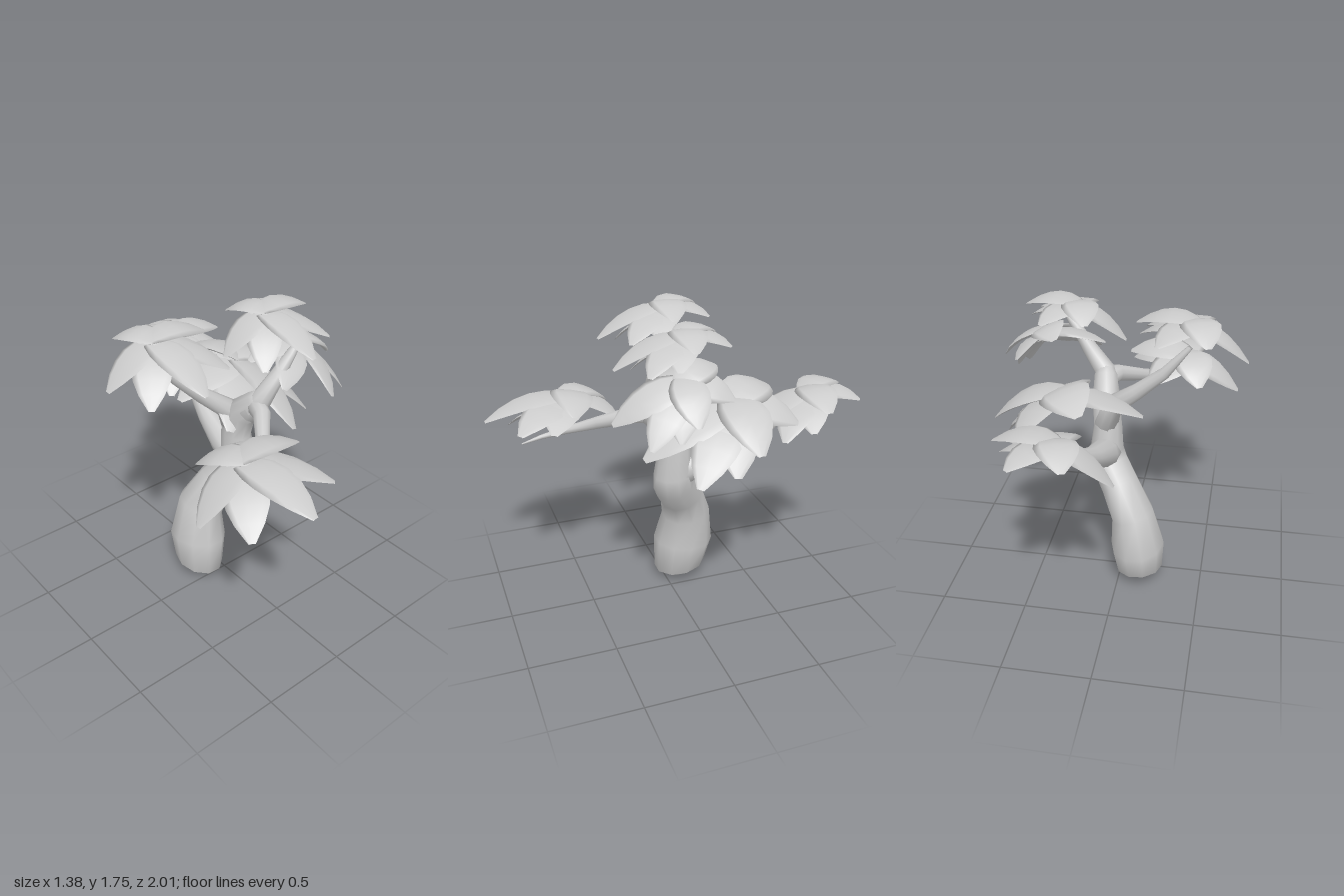
import * as THREE from 'three';

const SIDES = 10;

// Tapered limb: each station is [x, y, z, radius]; depth widens it front to back
function limb(name, stations, material, depth = 1) {
  const points = stations.map(([x, y, z]) => new THREE.Vector3(x, y, z));
  const curve = new THREE.CatmullRomCurve3(points);
  const turn = new THREE.Quaternion();
  let previous = new THREE.Vector3(0, 1, 0);
  const position = [], index = [];
  const last = stations.length - 1;
  points.forEach((p, i) => {
    const tangent = curve.getTangent(i / last);
    turn.premultiply(new THREE.Quaternion().setFromUnitVectors(previous, tangent));
    previous = tangent;
    for (let j = 0; j < SIDES; j++) {
      const a = (j / SIDES) * Math.PI * 2;
      const r = stations[i][3];
      const v = new THREE.Vector3(Math.cos(a) * r, 0, Math.sin(a) * r * depth).applyQuaternion(turn).add(p);
      position.push(v.x, v.y, v.z);
    }
  });
  // End caps share one centre vertex each
  const bottom = position.length / 3, top = bottom + 1;
  position.push(...points[0].toArray(), ...points[last].toArray());
  for (let j = 0; j < SIDES; j++) {
    const k = (j + 1) % SIDES;
    for (let i = 0; i < last; i++) {
      const a = i * SIDES + j, d = i * SIDES + k;
      index.push(a, a + SIDES, d, a + SIDES, d + SIDES, d);
    }
    index.push(bottom, j, k, top, last * SIDES + k, last * SIDES + j);
  }
  const geometry = new THREE.BufferGeometry();
  geometry.setAttribute('position', new THREE.Float32BufferAttribute(position, 3));
  geometry.setIndex(index);
  geometry.computeVertexNormals();
  const mesh = new THREE.Mesh(geometry, material);
  mesh.name = name;
  return mesh;
}

// Half widths of a leaf from stem to tip
const LEAF_WIDTH = [0.02, 0.07, 0.1, 0.108, 0.096, 0.066, 0.015];

// Arched solid leaf with a lens-shaped section, from the cluster centre to a tip
function leafGeometry([tx, ty, tz], lift) {
  const rows = LEAF_WIDTH.length - 1;
  const geometry = new THREE.PlaneGeometry(1, 1, 8, rows);
  const pos = geometry.attributes.position;
  const reach = Math.hypot(tx, tz), dx = tx / reach, dz = tz / reach;
  const start = -0.06;
  for (let i = 0; i < pos.count; i++) {
    const a = (pos.getX(i) + 0.5) * Math.PI * 2, t = pos.getY(i) + 0.5;
    const half = LEAF_WIDTH[Math.round(t * rows)];
    const w = -half * Math.cos(a);
    const along = start + (reach - start) * t;
    const y = lift * (1 - t) + ty * t + 0.19 * t * (1 - t) + 0.16 * half * Math.sin(a);
    pos.setXYZ(i, dx * along - dz * w, y, dz * along + dx * w);
  }
  geometry.computeVertexNormals();
  return geometry;
}

// Leaf tips relative to the cluster centre, upper leaves first
const TIPS = [
  [-0.09, -0.02, -0.23], [0.31, 0.0, 0.03], [-0.29, -0.18, 0.0], [0.03, -0.14, 0.41],
  [0.17, -0.03, -0.23], [0.28, -0.12, 0.28], [-0.19, -0.22, 0.24], [0.3, -0.1, 0.12],
];

// Cluster centre, scale, then tilt about x, turn about y, tilt about z
const CLUSTERS = [
  [[0.21, 1.25, -0.75], 1.03, [0.1, 0, 0]],
  [[0.28, 1.26, -0.25], 1.3, [0.1, 0.1, -0.35]],
  [[0.25, 1.67, 0.03], 0.93, [0, 0, 0]],
  [[0.43, 1.48, 0.09], 0.95, [0.15, 0, -0.48]],
  [[-0.4, 1.65, -0.09], 1.0, [0, 0, 0]],
  [[-0.315, 1.19, 0.53], 1.13, [-0.19, 0, 0.03]],
];

export function createModel() {
  const tree = new THREE.Group();
  tree.name = 'tree';
  const material = new THREE.MeshStandardMaterial({ color: 0xcccccc });

  // Bulging, S-curved trunk ending in the front fork
  tree.add(limb('trunk', [
    [-0.13, 0.015, -0.12, 0.07], [-0.125, 0.065, -0.1, 0.14], [-0.115, 0.25, -0.12, 0.16],
    [-0.085, 0.46, -0.125, 0.128], [0.0, 0.62, -0.065, 0.113], [0.075, 0.73, 0.005, 0.11],
    [0.093, 0.81, 0.02, 0.1], [0.083, 0.98, 0.008, 0.083], [0.1, 1.12, 0.04, 0.08],
    [0.12, 1.22, 0.15, 0.068], [0.13, 1.27, 0.18, 0.045],
  ], material, 1.15));

  // Branches
  tree.add(limb('leftBranch', [
    [0.1, 1.14, 0.1, 0.07], [0.13, 1.25, 0.17, 0.06], [0.22, 1.37, 0.19, 0.045],
    [0.3, 1.49, 0.21, 0.03], [0.38, 1.59, 0.22, 0.008],
  ], material));
  tree.add(limb('rightBranch', [
    [0.09, 1.0, -0.02, 0.07], [0.05, 1.13, -0.04, 0.062], [-0.1, 1.25, -0.08, 0.045],
    [-0.25, 1.39, -0.12, 0.033], [-0.38, 1.55, -0.13, 0.015],
  ], material));
  tree.add(limb('backBranch', [
    [0.09, 0.8, 0.0, 0.09], [0.09, 0.855, -0.11, 0.085], [0.115, 0.935, -0.3, 0.06],
    [0.165, 1.04, -0.5, 0.044], [0.21, 1.17, -0.66, 0.015],
  ], material));
  tree.add(limb('frontBranch', [
    [0.12, 1.21, 0.12, 0.06], [0.07, 1.2, 0.24, 0.05], [-0.07, 1.12, 0.41, 0.036],
    [-0.16, 1.06, 0.58, 0.022], [-0.17, 1.035, 0.72, 0.013], [-0.12, 1.03, 0.84, 0.004],
  ], material));

  // Leaf clusters
  const leaves = TIPS.map((tip, i) => leafGeometry(tip, i < 4 ? 0.015 : -0.02));
  CLUSTERS.forEach(([centre, scale, tilt], c) => {
    const cluster = new THREE.Group();
    cluster.name = `leafCluster${c + 1}`;
    leaves.forEach((geometry, i) => {
      const leaf = new THREE.Mesh(geometry, material);
      leaf.name = `leaf${i + 1}`;
      cluster.add(leaf);
    });
    cluster.position.set(...centre);
    cluster.rotation.set(...tilt);
    cluster.scale.setScalar(scale);
    tree.add(cluster);
  });

  return tree;
}
